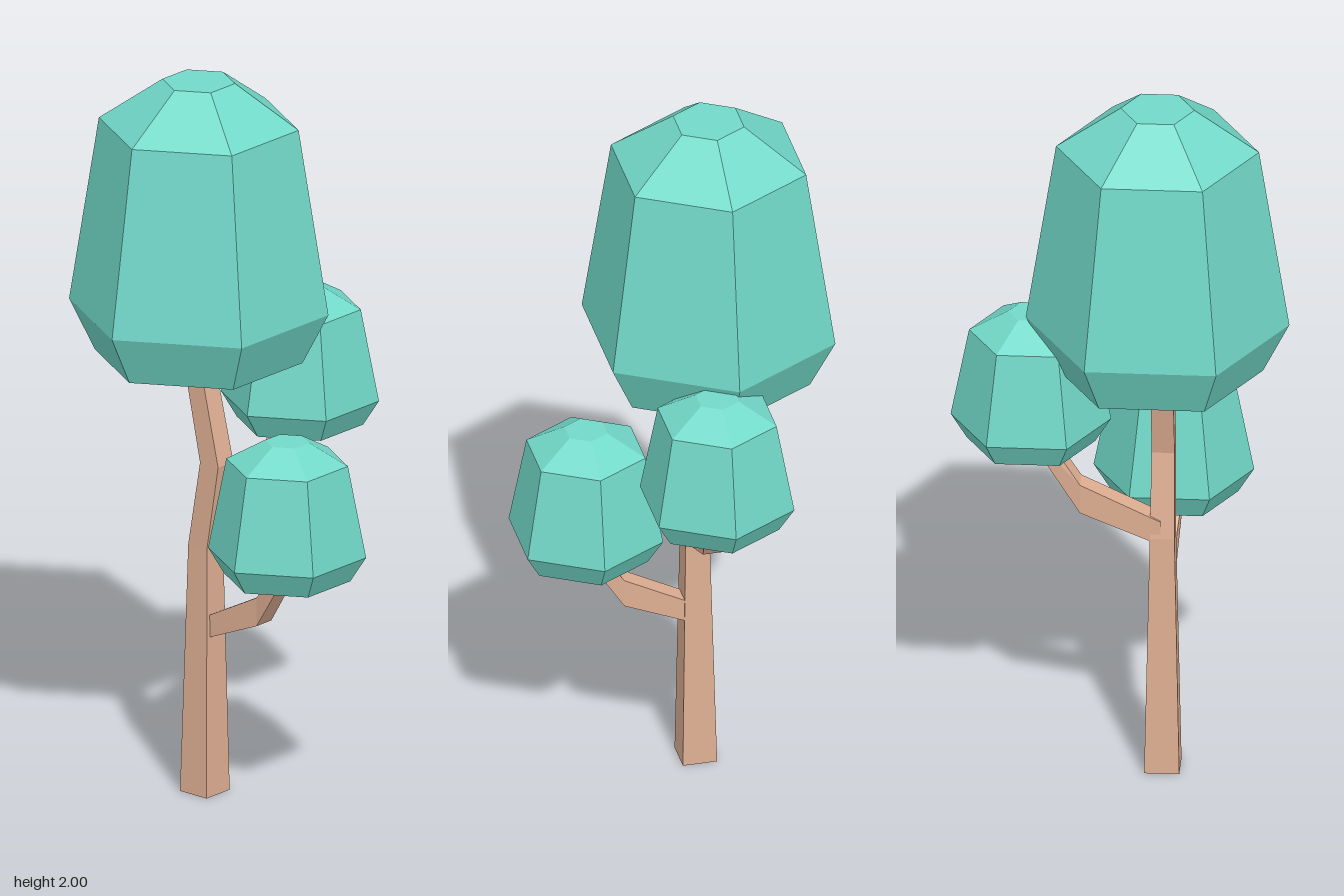
import * as THREE from 'three';

const leaf = new THREE.MeshStandardMaterial({ color: 0x72d9c9, flatShading: true });
const bark = new THREE.MeshStandardMaterial({ color: 0xdeae92, flatShading: true });

// Six-sided crown: one unit profile, scaled by radius and height
const profile = [[0, 0], [0.8, 0], [1, 0.18], [0.77, 0.845], [0.28, 1], [0, 1]];

function crown(name, x, y, z, radius, height) {
  const points = profile.map(([r, h]) => new THREE.Vector2(r * radius, h * height));
  const mesh = new THREE.Mesh(new THREE.LatheGeometry(points, 6, Math.PI / 2), leaf);
  mesh.name = name;
  mesh.position.set(x, y, z);
  return mesh;
}

// Four-sided limb swept through rings: [x, y, z, half width in x, half depth as (dy, dz)]
function limb(name, rings) {
  const corners = [[-1, -1], [1, -1], [1, 1], [-1, 1]];
  const positions = [];
  for (const [x, y, z, w, dy, dz] of rings) {
    for (const [s, t] of corners) positions.push(x + s * w, y + t * dy, z + t * dz);
  }
  const index = [0, 1, 2, 0, 2, 3];
  for (let i = 0; i < rings.length - 1; i++) {
    for (let j = 0; j < 4; j++) {
      const a = i * 4 + j, b = i * 4 + (j + 1) % 4;
      index.push(a, a + 4, b + 4, a, b + 4, b);
    }
  }
  const e = (rings.length - 1) * 4;
  index.push(e, e + 2, e + 1, e, e + 3, e + 2);

  const geometry = new THREE.BufferGeometry();
  geometry.setAttribute('position', new THREE.Float32BufferAttribute(positions, 3));
  geometry.setIndex(index);
  geometry.computeVertexNormals();
  const mesh = new THREE.Mesh(geometry, bark);
  mesh.name = name;
  return mesh;
}

export function createModel() {
  const tree = new THREE.Group();
  tree.name = 'tree';

  // Trunk: tapers, leans forward, then back into the main crown
  tree.add(limb('trunk', [
    [-0.115, 0, -0.075, 0.047, 0, 0.047],
    [-0.115, 0.7, -0.072, 0.033, 0, 0.033],
    [-0.115, 0.94, -0.033, 0.031, 0, 0.032],
    [-0.115, 1.28, -0.11, 0.029, 0, 0.029],
  ]));

  // Lower branch, reaching forward
  tree.add(limb('frontBranch', [
    [-0.11, 0.465, -0.07, 0.03, -0.03, 0],
    [-0.11, 0.56, 0.13, 0.03, -0.04, 0],
    [-0.132, 0.74, 0.255, 0.026, 0, 0.02],
  ]));

  // Upper branch, made reaching along z and turned to +x
  const sideBranch = limb('sideBranch', [
    [0.072, 0.715, -0.11, 0.031, -0.035, 0],
    [0.072, 0.812, 0.105, 0.031, -0.042, 0],
    [0.045, 1.02, 0.247, 0.028, 0, 0.025],
  ]);
  sideBranch.rotation.y = Math.PI / 2;
  tree.add(sideBranch);

  // Crowns
  tree.add(
    crown('mainCrown', -0.103, 1.22, -0.107, 0.353, 0.78),
    crown('sideCrown', 0.24, 0.96, -0.047, 0.215, 0.385),
    crown('frontCrown', -0.125, 0.677, 0.225, 0.215, 0.385),
  );

  return tree;
}
